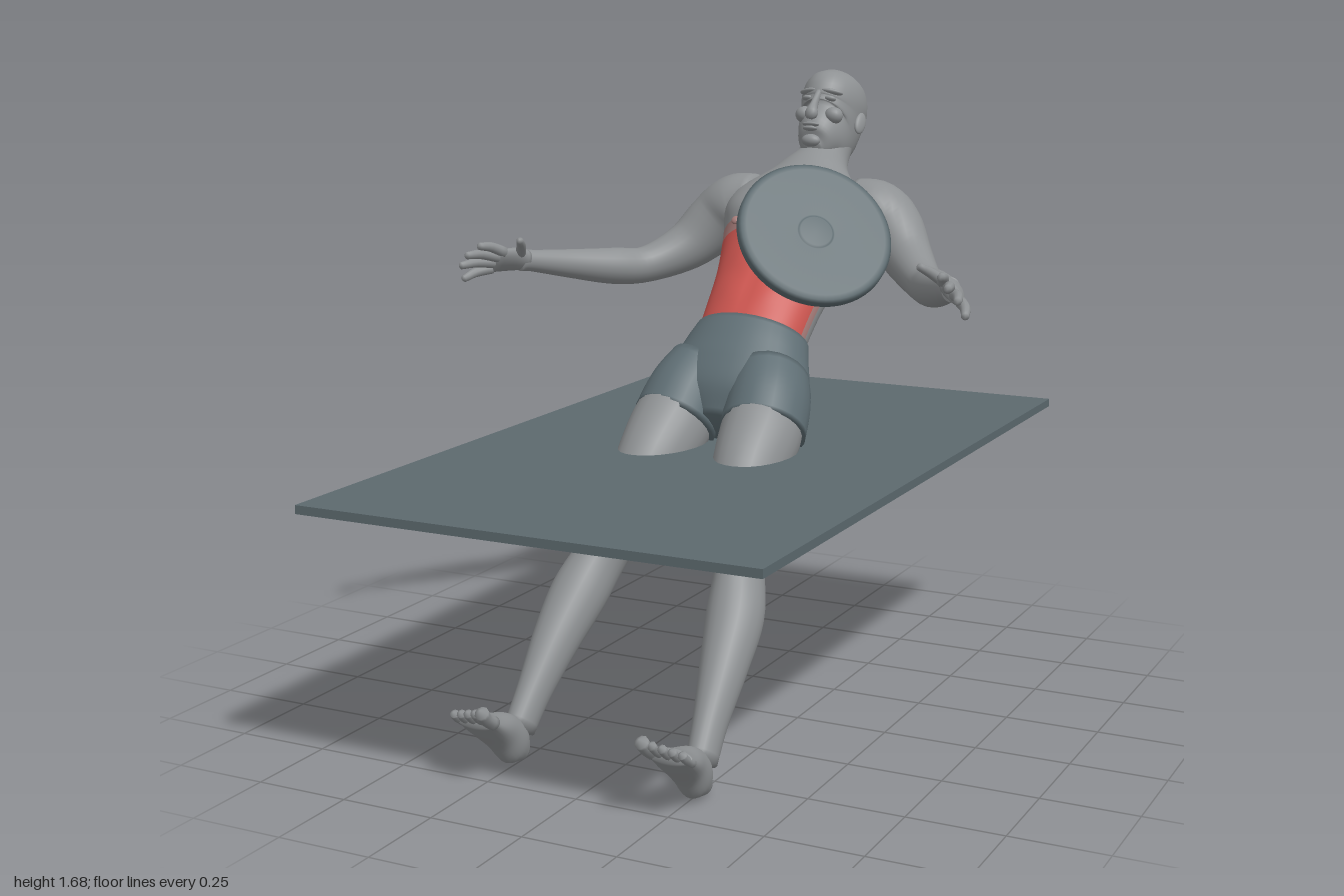
import * as THREE from 'three';

const mat = (name, color) => Object.assign(new THREE.MeshStandardMaterial({ color }), { name });

// Smooth body from sections [x, y, z, halfWidth, halfDepth]; shape(a, v) scales the radius, pick(a, v) chooses a material
function loft(sections, { ref = [1, 0, 0], sides = 24, sub = 5, round = 0.5, shape = () => 1, pick = () => 0 } = {}) {
  const path = new THREE.CatmullRomCurve3(sections.map(s => new THREE.Vector3(s[0], s[1], s[2])), false, 'catmullrom', 0.5);
  const size = new THREE.CatmullRomCurve3(sections.map(s => new THREE.Vector3(s[3], s[4], 0)), false, 'catmullrom', 0.5);
  const n = (sections.length - 1) * sub, pos = [], lists = [[], [], []];
  const R = new THREE.Vector3(...ref), tips = [];
  for (let i = 0; i <= n; i++) {
    const c = path.getPoint(i / n), r = size.getPoint(i / n), T = path.getTangent(i / n);
    const S = R.clone().addScaledVector(T, -R.dot(T)).normalize(), F = S.clone().cross(T);
    for (let j = 0; j < sides; j++) {
      const a = j / sides * Math.PI * 2, k = shape(a, i / sub);
      const p = c.clone().addScaledVector(S, r.x * k * Math.cos(a)).addScaledVector(F, r.y * k * Math.sin(a));
      pos.push(p.x, p.y, p.z);
    }
    if (i === 0 || i === n) tips.push(c.clone().addScaledVector(T, (i ? 1 : -1) * round * Math.min(r.x, r.y)));
  }
  const id = (i, j) => i * sides + j % sides, base = (n + 1) * sides;
  tips.forEach(p => pos.push(p.x, p.y, p.z));
  for (let j = 0; j < sides; j++) {
    for (let i = 0; i < n; i++) {
      lists[pick((j + 0.5) / sides * Math.PI * 2, (i + 0.5) / sub)].push(
        id(i, j), id(i + 1, j), id(i, j + 1), id(i + 1, j), id(i + 1, j + 1), id(i, j + 1));
    }
    lists[0].push(base, id(0, j), id(0, j + 1), base + 1, id(n, j + 1), id(n, j));
  }
  const g = new THREE.BufferGeometry();
  g.setAttribute('position', new THREE.Float32BufferAttribute(pos, 3));
  g.setIndex(lists.flat());
  let start = 0;
  lists.forEach((l, m) => { if (l.length) g.addGroup(start, l.length, m); start += l.length; });
  g.computeVertexNormals();
  return g;
}

const bump = (x, c, w) => Math.exp(-(((x - c) / w) ** 2));

export function createModel() {
  const model = new THREE.Group();
  const skin = mat('skin grey', 0x8e9193), cloth = mat('shorts slate', 0x5f6e74), floor = mat('mat slate', 0x5c696e);
  const iron = mat('disc slate', 0x5a686d), red = mat('muscle red', 0xcb554f), pink = mat('faded red', 0xa77d7a);

  const add = (name, geometry, material, parent = model) => {
    const m = new THREE.Mesh(geometry, material);
    m.name = name;
    parent.add(m);
    return m;
  };
  const body = (name, sections, opts, parent, material = skin) => add(name, loft(sections, opts), [material, red, pink], parent);
  const blob = (name, p, s, parent, material = skin) => {
    const m = add(name, new THREE.SphereGeometry(1, 20, 14), material, parent);
    m.position.set(...p);
    m.scale.set(...s);
    return m;
  };

  // Floor mat
  add('mat', new THREE.BoxGeometry(1.22, 0.022, 2), floor).position.y = 0.725;

  // Torso and neck, with chest, abdominal and spine relief and the highlighted abdomen
  body('torso', [
    [0, 0.94, -0.2, 0.155, 0.112], [0, 1.0, -0.245, 0.155, 0.115], [0, 1.11, -0.362, 0.168, 0.12],
    [0, 1.21, -0.49, 0.205, 0.142], [0, 1.31, -0.575, 0.225, 0.125], [0, 1.378, -0.637, 0.13, 0.098],
    [0, 1.432, -0.703, 0.078, 0.077], [0, 1.5, -0.765, 0.07, 0.072],
  ], {
    sides: 64, sub: 10,
    shape: (a, v) => {
      const d = a - Math.PI / 2, b = a - Math.PI * 1.5;
      const pecs = 0.1 * bump(Math.abs(d), 0.6, 0.45) * bump(v, 3.45, 0.5);
      const abs = 0.03 * bump(Math.abs(d), 0.35, 0.22) * (0.5 + 0.5 * Math.cos(v * 9)) * bump(v, 1.9, 0.8);
      const line = 0.04 * bump(d, 0, 0.09) * bump(v, 2.4, 1.5);
      const spine = 0.09 * bump(b, 0, 0.22) * bump(v, 2.6, 1.6);
      const blades = 0.05 * bump(Math.abs(b), 0.6, 0.3) * bump(v, 3.5, 0.6);
      return 1 + pecs + abs - line - spine + blades;
    },
    pick: (a, v) => {
      const s = Math.sin(a);
      if (v < 2.7 && s > 0.22) return 1;
      return v < 3.0 && s > 0.02 ? 2 : 0;
    },
  });

  // Shorts: seat, then one leg on each side
  body('shortsSeat', [
    [0, 0.992, -0.237, 0.163, 0.122], [0, 0.945, -0.195, 0.183, 0.129], [0, 0.89, -0.15, 0.203, 0.133],
    [0, 0.83, -0.095, 0.19, 0.12], [0, 0.775, -0.045, 0.08, 0.075],
  ], { sides: 40, round: 0.1 }, model, cloth);

  for (const s of [1, -1]) {
    const side = s > 0 ? 'left' : 'right';
    const mx = list => list.map(([x, ...r]) => [x * s, ...r]);
    blob(side + 'Buttock', [0.095 * s, 0.85, -0.185], [0.098, 0.1, 0.085], model, cloth);
    body(side + 'ShortsLeg', mx([
      [0.1, 0.905, -0.15, 0.1, 0.115], [0.12, 0.845, -0.085, 0.112, 0.122], [0.131, 0.782, -0.026, 0.114, 0.118],
    ]), { round: 0.02 }, model, cloth);

    // Leg
    body(side + 'Leg', mx([
      [0.125, 0.83, -0.07, 0.1, 0.108], [0.134, 0.77, 0.0, 0.107, 0.112], [0.143, 0.685, 0.1, 0.092, 0.102],
      [0.165, 0.56, 0.2, 0.07, 0.08], [0.198, 0.48, 0.255, 0.064, 0.079], [0.225, 0.39, 0.335, 0.073, 0.078],
      [0.24, 0.29, 0.43, 0.06, 0.066], [0.25, 0.18, 0.525, 0.043, 0.053], [0.257, 0.1, 0.587, 0.037, 0.05],
    ]));

    // Foot with five toes
    body(side + 'Foot', mx([
      [0.258, 0.035, 0.58, 0.024, 0.026], [0.258, 0.07, 0.615, 0.038, 0.055], [0.26, 0.115, 0.665, 0.045, 0.05],
      [0.264, 0.152, 0.73, 0.058, 0.031], [0.265, 0.182, 0.775, 0.06, 0.019],
    ]));
    for (let i = 0; i < 5; i++) {
      const x = 0.22 + 0.0235 * i, r = i ? 0.0115 : 0.018, back = 0.004 * i;
      body(side + 'Toe', mx([
        [x, 0.178 - back, 0.765 - back, r, r], [x, 0.2 - back, 0.8 - back, r, r * 0.9], [x - 0.002, 0.222 - back * 1.5, 0.82 - back * 1.5, r, r],
      ]), { sides: 10, sub: 3, round: 0.8 });
    }

    // Arm, from the shoulder to the wrist
    body(side + 'Arm', [
      [0.14, 1.335, -0.585, 0.07, 0.08], [0.215, 1.312, -0.59, 0.088, 0.1], [0.275, 1.26, -0.575, 0.088, 0.088],
      [0.345, 1.19, -0.52, 0.07, 0.068], [0.425, 1.145, -0.425, 0.052, 0.052], [0.485, 1.147, -0.335, 0.052, 0.052],
      [0.56, 1.165, -0.21, 0.04, 0.038], [0.615, 1.183, -0.1, 0.03, 0.027], [0.63, 1.188, -0.07, 0.032, 0.024],
    ].map(([x, ...r]) => [x * s, ...r]), { ref: [0, 1, 0] });

    // Hand: palm, four fingers and a thumb
    body(side + 'Palm', mx([
      [0.622, 1.186, -0.085, 0.03, 0.024], [0.642, 1.192, -0.045, 0.04, 0.023], [0.662, 1.193, 0.012, 0.042, 0.018],
    ]), { ref: [-0.68 * s, 0.73, 0], sides: 16 });
    const digits = [
      [[0.637, 1.218, 0.008], [0.652, 1.236, 0.05], [0.662, 1.242, 0.092]],
      [[0.653, 1.205, 0.015], [0.675, 1.217, 0.065], [0.688, 1.218, 0.115]],
      [[0.67, 1.188, 0.012], [0.695, 1.192, 0.06], [0.712, 1.188, 0.108]],
      [[0.682, 1.17, 0.002], [0.708, 1.162, 0.042], [0.722, 1.148, 0.08]],
      [[0.628, 1.2, -0.06], [0.598, 1.232, -0.02], [0.578, 1.254, 0.02]],
    ];
    digits.forEach((d, i) => body(side + (i < 4 ? 'Finger' : 'Thumb'),
      mx(d.map((p, k) => [...p, [0.0155, 0.0135, 0.01][k], [0.0155, 0.0135, 0.01][k]])),
      { ref: [0, 1, 0], sides: 10, sub: 3, round: 0.8 }));

    // Nipple
    const nipple = blob(side + 'Nipple', [0.128 * s, 1.29, -0.398], [0.013, 0.013, 0.008], model, pink);
    nipple.rotation.x = -0.7;
  }

  // Head, tilted back
  const head = new THREE.Group();
  head.name = 'head';
  head.position.set(0, 1.565, -0.77);
  head.rotation.x = -0.5;
  model.add(head);
  body('skull', [
    [0, -0.142, 0.078, 0.024, 0.022], [0, -0.13, 0.066, 0.045, 0.05], [0, -0.1, 0.045, 0.064, 0.082],
    [0, -0.06, 0.006, 0.078, 0.118], [0, -0.01, -0.008, 0.085, 0.128], [0, 0.04, -0.01, 0.089, 0.132],
    [0, 0.085, -0.012, 0.077, 0.112], [0, 0.114, -0.012, 0.05, 0.072], [0, 0.126, -0.012, 0.014, 0.02],
  ], { sides: 32, round: 0.1 }, head);
  body('nose', [
    [0, 0.018, 0.115, 0.009, 0.009], [0, -0.03, 0.127, 0.011, 0.015], [0, -0.058, 0.132, 0.019, 0.019], [0, -0.068, 0.124, 0.014, 0.012],
  ], { sides: 14 }, head);
  blob('upperLip', [0, -0.088, 0.122], [0.026, 0.006, 0.011], head);
  blob('lowerLip', [0, -0.1, 0.121], [0.022, 0.007, 0.011], head);
  blob('chin', [0, -0.127, 0.098], [0.028, 0.018, 0.018], head);
  for (const s of [1, -1]) {
    blob('brow', [0.036 * s, 0.022, 0.105], [0.032, 0.008, 0.014], head).rotation.y = 0.4 * s;
    blob('eyelid', [0.035 * s, 0.001, 0.105], [0.017, 0.008, 0.012], head).rotation.y = 0.3 * s;
    blob('cheek', [0.045 * s, -0.04, 0.08], [0.027, 0.024, 0.026], head);
    blob('ear', [0.09 * s, -0.02, -0.012], [0.01, 0.034, 0.021], head).rotation.set(-0.15, -0.35 * s, 0);
  }

  // Weight disc with rounded rim and a raised hub on both faces
  const h = 0.018;
  const half = [[0, h + 0.002], [0.042, h + 0.002], [0.046, h - 0.003], [0.05, h - 0.001], [0.185, h], [0.198, h - 0.002], [0.205, h - 0.009]];
  const profile = [...half.map(([r, y]) => [r, -y]), ...half.slice().reverse()].map(p => new THREE.Vector2(...p));
  const disc = add('weightDisc', new THREE.LatheGeometry(profile, 64), iron);
  disc.position.set(0.252, 1.305, -0.076);
  disc.quaternion.setFromUnitVectors(new THREE.Vector3(0, 1, 0), new THREE.Vector3(0.55, 0.59, 0.59).normalize());

  return model;
}
